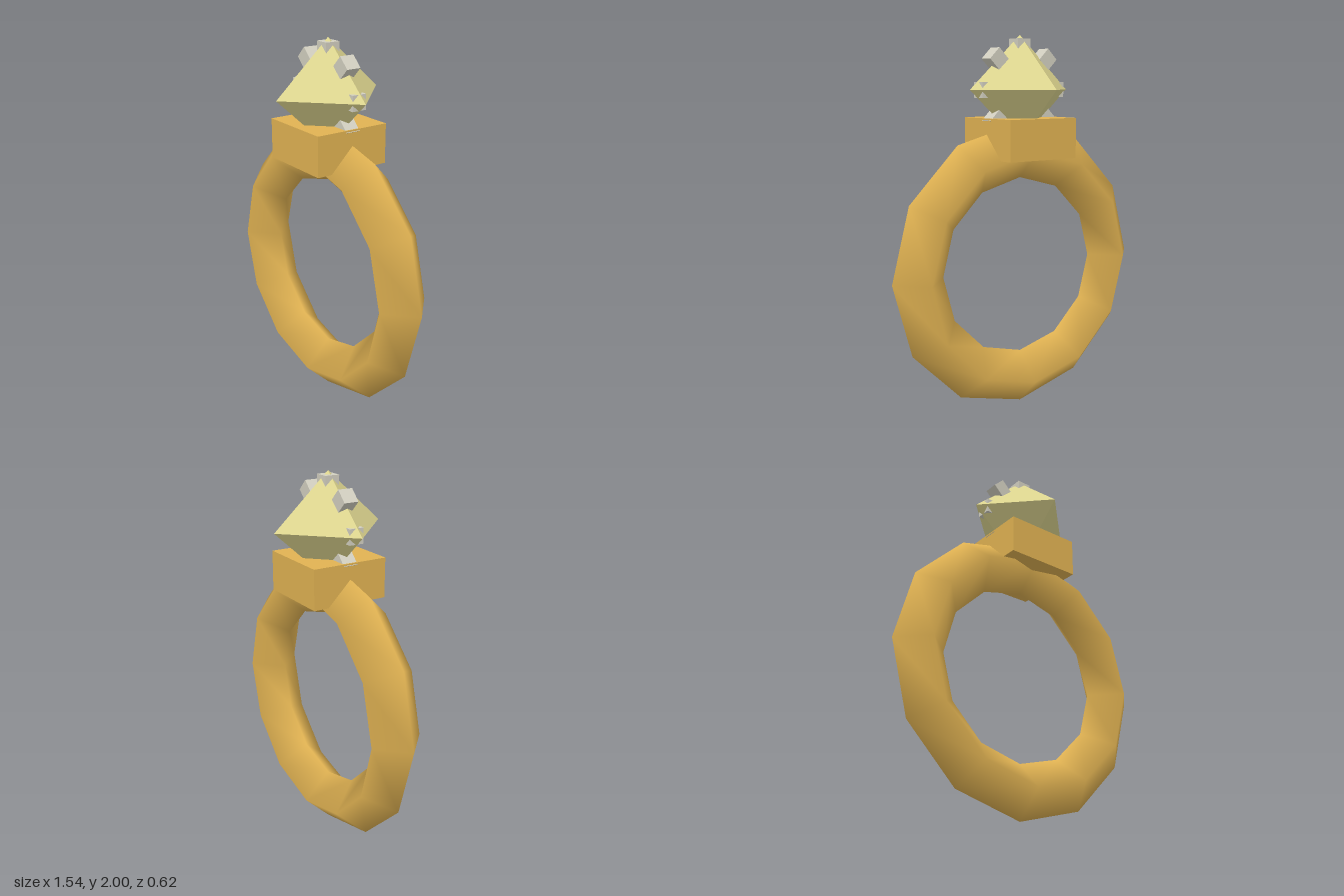
import * as THREE from 'three';

export function createModel() {
  const gold = new THREE.MeshStandardMaterial({ color: 0xe0b252 });
  gold.name = 'gold';
  const crystal = new THREE.MeshStandardMaterial({ color: 0xdcd48e });
  crystal.name = 'pale yellow crystal';
  const silver = new THREE.MeshStandardMaterial({ color: 0xd2cfc0 });
  silver.name = 'silver';

  const model = new THREE.Group();
  model.name = 'gemRing';
  const add = (name, geometry, material, x, y, z = 0) => {
    const mesh = new THREE.Mesh(geometry, material);
    mesh.name = name;
    mesh.position.set(x, y, z);
    model.add(mesh);
    return mesh;
  };

  // Twelve-segment band with a smooth-shaded diamond section
  add('band', new THREE.TorusGeometry(0.627, 0.145, 4, 12), gold, 0, 0.777);

  // Square setting under the stone
  add('setting', new THREE.BoxGeometry(0.42, 0.21, 0.42), gold, 0, 1.47);

  // Eight-sided stone, slightly flattened, its lower tip sunk in the setting
  const gemY = 1.72;
  const stone = new THREE.OctahedronGeometry(0.31);
  stone.scale(1, 0.28 / 0.31, 1);
  add('stone', stone, crystal, 0, gemY);

  // Ring of small prongs around the stone
  const prong = new THREE.BoxGeometry(0.08, 0.08, 0.08);
  for (let i = 0; i < 8; i++) {
    const a = (i * Math.PI) / 4;
    add('prong', prong, silver, 0.22 * Math.cos(a), gemY + 0.22 * Math.sin(a)).rotation.z = a;
  }
  return model;
}
